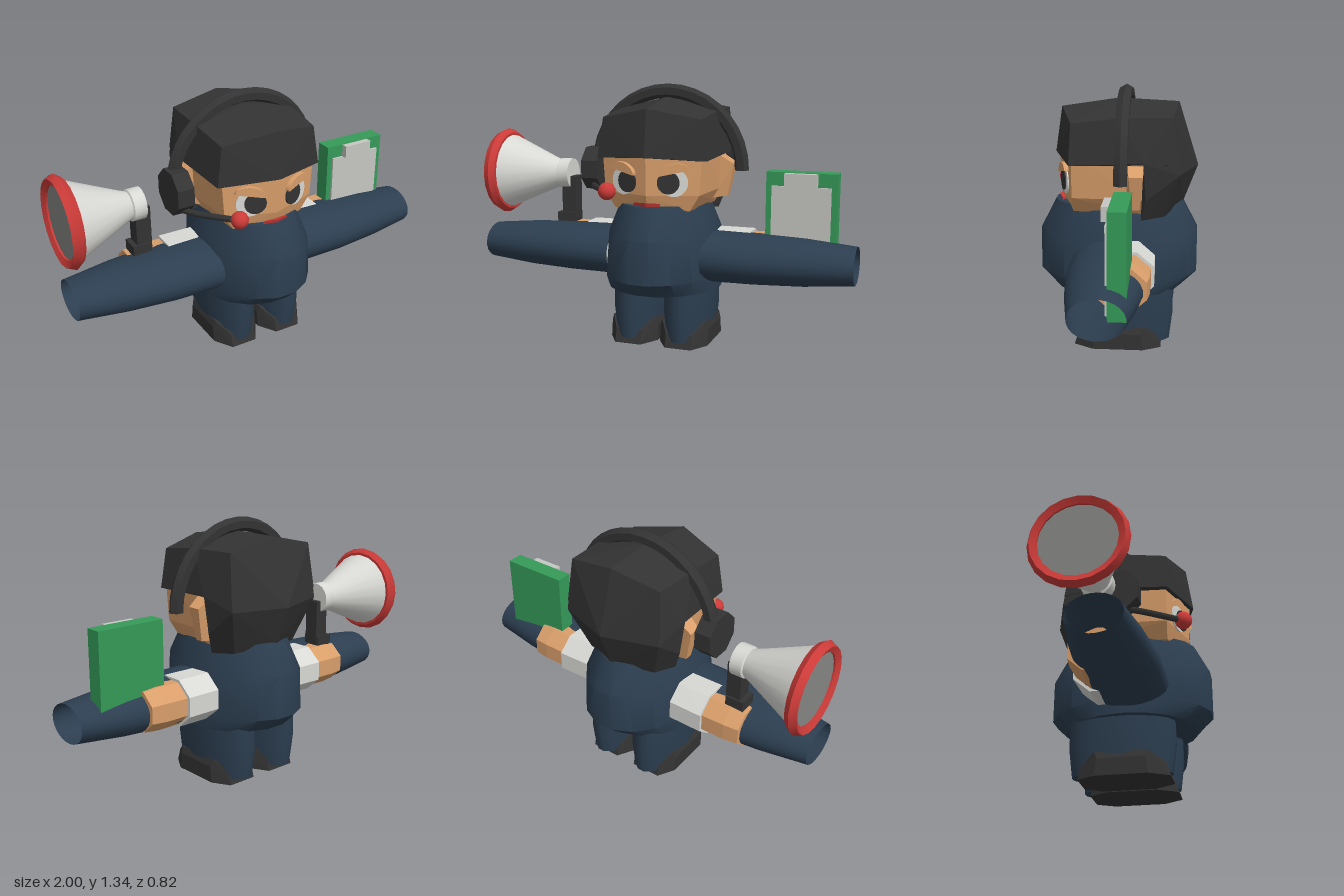
import * as THREE from 'three';
import { toCreasedNormals } from 'three/addons/utils/BufferGeometryUtils.js';
import { ConvexGeometry } from 'three/addons/geometries/ConvexGeometry.js';

const paint = (name, color, side = THREE.FrontSide) => {
  const m = new THREE.MeshStandardMaterial({ color, side });
  m.name = name;
  return m;
};

export function createModel() {
  const model = new THREE.Group();
  model.name = 'figure';
  const navy = paint('navy', 0x2c3e50, THREE.DoubleSide);
  const charcoal = paint('charcoal', 0x333333);
  const skin = paint('skin', 0xd99e6a);
  const white = paint('white', 0xd8d8d4);
  const paperGrey = paint('paper grey', 0xc6c6c2);
  const red = paint('red', 0xcc3b38);
  const green = paint('green', 0x359a58);
  const grey = paint('grey', 0x868684);

  const add = (name, geo, mat, x = 0, y = 0, z = 0, parent = model) => {
    const mesh = new THREE.Mesh(geo, mat);
    mesh.name = name;
    mesh.position.set(x, y, z);
    parent.add(mesh);
    return mesh;
  };

  // Elliptical tube through rings [height, rx, rz], listed from top to bottom
  const loft = (rings, sides, open = false, crease = 0.65) => {
    const k = rings.length - 1;
    const geo = new THREE.CylinderGeometry(1, 1, 1, sides, k, open, Math.PI / sides);
    const p = geo.attributes.position;
    for (let i = 0; i < p.count; i++) {
      const [h, rx, rz] = rings[Math.round((0.5 - p.getY(i)) * k)];
      p.setXYZ(i, p.getX(i) * rx, h, p.getZ(i) * rz);
    }
    return toCreasedNormals(geo, crease);
  };

  // Faceted solid, points with x > 0 are mirrored
  const hull = (points, mirror = true) => {
    const list = [];
    for (const [x, y, z] of points) {
      list.push(new THREE.Vector3(x, y, z));
      if (mirror && x > 0) list.push(new THREE.Vector3(-x, y, z));
    }
    return new ConvexGeometry(list);
  };
  const box = (w, h, d) => new THREE.BoxGeometry(w, h, d);

  // Body
  add('torso', loft([[0.745, 0.22, 0.335], [0.59, 0.28, 0.415], [0.37, 0.3, 0.415], [0.295, 0.3, 0.335]], 18), navy);

  for (const s of [1, -1]) {
    const side = s > 0 ? 'left' : 'right';

    // Legs and shoes
    add(side + 'Leg', loft([[0.31, 0.13, 0.265], [0.18, 0.13, 0.268], [0.03, 0.115, 0.25]], 20), navy, s * 0.137, 0, -0.025);
    const sole = [[-0.07, 0.22], [0.07, 0.22], [0.13, 0.12], [0.13, -0.14], [0.08, -0.23], [-0.08, -0.23], [-0.13, -0.14], [-0.13, 0.12]];
    const shoe = [];
    for (const [x, z] of sole) {
      shoe.push([x, 0, z], [x, z > 0.2 ? 0.07 : 0.085, z * 0.9]);
      shoe.push([x * 0.9, 0.12, THREE.MathUtils.clamp(z, -0.19, 0.12)]);
    }
    add(side + 'Shoe', hull(shoe, false), charcoal, s * 0.137, 0, 0);

    // Sleeve, cuff and hand
    const arm = new THREE.Group();
    arm.name = side + 'Arm';
    arm.rotation.z = -s * Math.PI / 2;
    arm.position.y = 0.46;
    model.add(arm);
    add('sleeve', loft([[1, 0.095, 0.13], [0.75, 0.118, 0.172], [0.5, 0.127, 0.2], [0.25, 0.13, 0.203]], 24, true), navy, 0, 0, 0.022, arm);
    add('cuff', loft([[0.455, 0.13, 0.152], [0.27, 0.13, 0.148]], 8, false, 0.1), white, -s * 0.01, 0, -0.062, arm);
    add('hand', loft([[0.66, 0.11, 0.125], [0.58, 0.118, 0.135], [0.44, 0.115, 0.135]], 8, false, 0.1), skin, -s * 0.01, 0, -0.062, arm);

    // Ear
    add(side + 'Ear', hull([
      [0.26, 0.985, -0.05], [0.26, 0.985, -0.14], [0.345, 0.93, -0.07], [0.345, 0.93, -0.14],
      [0.31, 0.76, -0.08], [0.31, 0.76, -0.12], [0.24, 0.75, -0.05], [0.24, 0.75, -0.12],
    ].map(([x, y, z]) => [s * x, y, z]), false), skin);

    // Eye plates and lid on the slanted cheek
    const eye = new THREE.Group();
    eye.name = side + 'Eye';
    eye.position.set(s * 0.133, 0.865, 0.264);
    eye.rotation.y = s * 0.328;
    model.add(eye);
    const disc = (r) => new THREE.CylinderGeometry(r, r, 0.008, 20).rotateX(Math.PI / 2);
    add('eyeWhite', disc(0.07), white, 0, 0, 0, eye);
    add('iris', disc(0.056), charcoal, -s * 0.028, 0, 0.006, eye);
    const lid = new THREE.CylinderGeometry(0.078, 0.078, 0.035, 12, 1, false, Math.PI / 2, Math.PI).rotateX(Math.PI / 2);
    lid.scale(1, 0.6, 1);
    add('eyelid', lid, skin, 0, 0.048, 0.005, eye).rotation.z = s * 0.2;
  }

  // Head
  add('head', hull([
    [0, 1.02, 0.31], [0.265, 1.02, 0.22], [0.285, 1.02, -0.15],
    [0, 0.8, 0.305], [0.25, 0.8, 0.22], [0.275, 0.8, -0.15],
    [0, 0.72, 0.28], [0.2, 0.72, 0.215], [0.23, 0.72, -0.15],
  ]), skin);
  add('mouth', hull([
    [0, 0.765, 0.315], [0.07, 0.762, 0.293], [0, 0.735, 0.305], [0.07, 0.735, 0.285], [0, 0.75, 0.27],
  ]), red);

  // Hair, a front cap and a longer back
  add('hairFront', hull([
    [0, 1.225, 0.295], [0.26, 1.175, 0.22], [0, 0.99, 0.33], [0.29, 0.972, 0.23],
    [0, 1.27, 0], [0.272, 1.205, -0.02], [0.31, 0.99, -0.14],
    [0, 1.255, -0.305], [0.262, 1.21, -0.28], [0.28, 0.98, -0.31],
  ]), charcoal);
  add('hairBack', hull([
    [0, 1.255, -0.305], [0.262, 1.21, -0.28], [0, 0.93, -0.407], [0.28, 0.93, -0.315],
    [0.31, 0.99, -0.14], [0.29, 0.8, -0.15], [0.25, 0.69, -0.125], [0.2, 0.7, -0.24], [0, 0.74, -0.335],
  ]), charcoal);

  // Headset
  const band = toCreasedNormals(new THREE.TorusGeometry(0.398, 0.037, 6, 18, Math.PI), 0.5);
  add('headband', band, charcoal, 0, 0.903, -0.034);
  const cup = loft([[0.045, 0.12, 0.12], [-0.045, 0.12, 0.12]], 8, false, 0.1).rotateZ(Math.PI / 2);
  add('earCup', cup, charcoal, -0.395, 0.89, -0.005);
  const boomPath = new THREE.CatmullRomCurve3([
    new THREE.Vector3(-0.4, 0.805, 0.03), new THREE.Vector3(-0.36, 0.803, 0.11), new THREE.Vector3(-0.22, 0.81, 0.29),
  ]);
  add('microphoneBoom', new THREE.TubeGeometry(boomPath, 8, 0.018, 6), charcoal);
  add('microphone', new THREE.SphereGeometry(0.045, 14, 10), red, -0.21, 0.812, 0.3);

  // Clipboard
  add('clipboard', box(0.36, 0.495, 0.086), green, 0.71, 0.657, -0.057);
  add('paper', box(0.3, 0.41, 0.012), paperGrey, 0.71, 0.63, -0.008);
  add('clip', box(0.165, 0.068, 0.034), paperGrey, 0.71, 0.868, 0.003);

  // Megaphone, turned around an axis along x
  const megaphone = new THREE.Group();
  megaphone.name = 'megaphone';
  megaphone.position.set(0, 0.842, -0.06);
  megaphone.rotation.z = Math.PI / 2;
  model.add(megaphone);
  const spin = (pts) => toCreasedNormals(
    new THREE.LatheGeometry(pts.map(([r, h]) => new THREE.Vector2(r, h)), 20), 0.4);
  add('horn', spin([[0, 0.565], [0.082, 0.565], [0.082, 0.63], [0.072, 0.635], [0.09, 0.68], [0.205, 0.945]]), white, 0, 0, 0, megaphone);
  add('hornRim', spin([[0.19, 0.935], [0.215, 0.935], [0.236, 0.965], [0.218, 1], [0.185, 0.985], [0.185, 0.96]]), red, 0, 0, 0, megaphone);
  add('hornMouth', new THREE.CylinderGeometry(0.19, 0.19, 0.008, 20), grey, 0, 0.972, 0, megaphone);
  add('megaphoneGrip', box(0.08, 0.24, 0.08), charcoal, -0.575, 0.71, -0.06);
  add('megaphoneFoot', box(0.1, 0.06, 0.1), charcoal, -0.59, 0.6, -0.06);

  return model;
}
